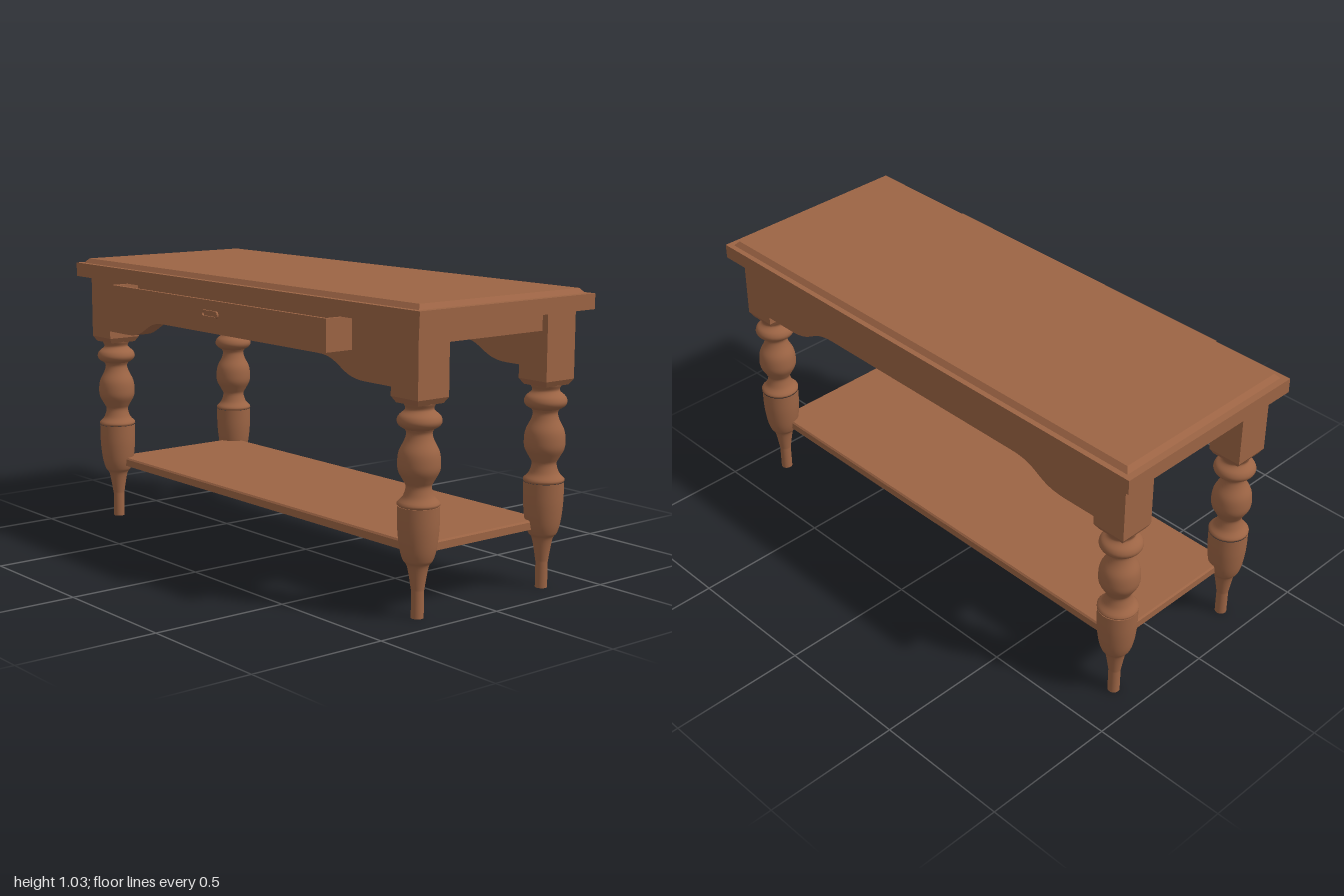
import * as THREE from 'three';

export function createModel() {
  const table = new THREE.Group();
  table.name = 'consoleTable';
  const wood = new THREE.MeshStandardMaterial({ color: 0x9c6444 });
  wood.name = 'warmWood';
  const dark = new THREE.MeshStandardMaterial({ color: 0x654633 });
  dark.name = 'darkWood';

  const add = (name, geometry, material = wood, parent = table) => {
    const mesh = new THREE.Mesh(geometry, material);
    mesh.name = name;
    parent.add(mesh);
    return mesh;
  };
  // Box given by its limits on each axis; the lower or upper face may be inset
  const block = (x0, x1, y0, y1, z0, z1, insetLow = 0, insetHigh = 0) => {
    const g = new THREE.BoxGeometry(x1 - x0, y1 - y0, z1 - z0);
    const p = g.attributes.position;
    for (let i = 0; i < p.count; i++) {
      const inset = p.getY(i) < 0 ? insetLow : insetHigh;
      p.setX(i, p.getX(i) - Math.sign(p.getX(i)) * inset);
      p.setZ(i, p.getZ(i) - Math.sign(p.getZ(i)) * inset);
    }
    g.computeVertexNormals();
    return g.translate((x0 + x1) / 2, (y0 + y1) / 2, (z0 + z1) / 2);
  };

  // Top: slab with a raised, bevelled panel
  add('topSlab', block(-0.355, 0.43, 0.96, 1.013, -1, 1));
  add('topPanel', block(-0.335, 0.41, 1.013, 1.03, -0.975, 0.975, 0, 0.015));

  // Turned legs under square blocks; foot and upper turning meet at a sharp collar
  const v = (list) => list.map(([r, y]) => new THREE.Vector2(r, y));
  const smooth = (list) => new THREE.SplineCurve(v(list)).getPoints(36);
  const foot = [...v([[0, 0], [0.021, 0], [0.021, 0]]),
    ...smooth([[0.021, 0.09], [0.035, 0.17], [0.05, 0.195], [0.061, 0.235], [0.068, 0.3], [0.069, 0.372]])];
  const collar = v([[0.066, 0.372], [0.07, 0.376], [0.07, 0.382], [0.064, 0.388]]);
  const vase = smooth([[0.064, 0.388], [0.05, 0.405], [0.042, 0.435], [0.051, 0.455], [0.067, 0.485],
    [0.07, 0.515], [0.065, 0.55], [0.048, 0.585], [0.042, 0.608], [0.048, 0.622]]);
  const ring = smooth([[0.048, 0.622], [0.066, 0.633], [0.073, 0.648], [0.067, 0.665], [0.05, 0.68],
    [0.046, 0.69], [0.053, 0.705], [0.053, 0.715]]);
  for (const x of [-0.25, 0.322]) {
    for (const z of [-0.89, 0.89]) {
      const leg = new THREE.Group();
      leg.name = 'leg';
      leg.position.set(x, 0, z);
      table.add(leg);
      for (const [name, profile] of [['foot', foot], ['collar', collar], ['vase', vase], ['ring', ring]]) {
        add(name, new THREE.LatheGeometry(profile, 32), wood, leg);
      }
      add('legBlock', block(-0.066, 0.066, 0.725, 0.96, -0.064, 0.064), wood, leg);
      add('legBlockChamfer', block(-0.066, 0.066, 0.705, 0.725, -0.064, 0.064, 0.012), wood, leg);
    }
  }

  // Long aprons with a scalloped lower edge
  const s = new THREE.Shape();
  s.moveTo(-0.84, 0.96);
  s.lineTo(-0.84, 0.755);
  s.lineTo(-0.7, 0.755);
  s.bezierCurveTo(-0.57, 0.755, -0.58, 0.82, -0.46, 0.82);
  s.lineTo(0.46, 0.82);
  s.bezierCurveTo(0.58, 0.82, 0.57, 0.755, 0.7, 0.755);
  s.lineTo(0.84, 0.755);
  s.lineTo(0.84, 0.96);
  const apron = new THREE.ExtrudeGeometry(s, { depth: 0.06, bevelEnabled: false, curveSegments: 14 });
  apron.rotateY(Math.PI / 2);
  add('longApron', apron).position.x = 0.328;
  add('longApron', apron).position.x = -0.316;

  // Short end rails
  for (const z of [-0.895, 0.895]) {
    add('endRail', block(-0.19, 0.26, 0.895, 0.96, z - 0.035, z + 0.035));
  }

  // Partly open drawer: floor, walls and a rounded pull
  const drawer = new THREE.Group();
  drawer.name = 'drawer';
  table.add(drawer);
  const t = 0.012;
  add('drawerBottom', block(-0.425, 0.145, 0.85, 0.86, -0.635, 0.635), wood, drawer);
  add('drawerLining', block(-0.413, 0.133, 0.86, 0.864, -0.623, 0.623), dark, drawer);
  add('drawerFront', block(-0.425, -0.425 + t, 0.86, 0.96, -0.635, 0.635), wood, drawer);
  add('drawerBack', block(0.145 - t, 0.145, 0.86, 0.959, -0.635, 0.635), wood, drawer);
  add('drawerSide', block(-0.413, 0.133, 0.86, 0.96, -0.635, -0.635 + t), wood, drawer);
  add('drawerSide', block(-0.413, 0.133, 0.86, 0.96, 0.635 - t, 0.635), wood, drawer);

  const oval = (path, halfLength, r) => {
    path.absarc(halfLength, 0, r, -Math.PI / 2, Math.PI / 2, false);
    path.absarc(-halfLength, 0, r, Math.PI / 2, Math.PI * 1.5, false);
    path.closePath();
    return path;
  };
  const pull = oval(new THREE.Shape(), 0.034, 0.013);
  pull.holes.push(oval(new THREE.Path(), 0.034, 0.007));
  const pullGeometry = new THREE.ExtrudeGeometry(pull, { depth: 0.008, bevelEnabled: false, curveSegments: 8 });
  pullGeometry.rotateY(-Math.PI / 2);
  add('drawerPull', pullGeometry, wood, drawer).position.set(-0.424, 0.912, 0.003);

  // Low shelf between the legs
  add('shelf', block(-0.25, 0.322, 0.21, 0.236, -0.89, 0.89));
  add('shelfTop', block(-0.25, 0.322, 0.236, 0.242, -0.89, 0.89, 0, 0.005));

  return table;
}
